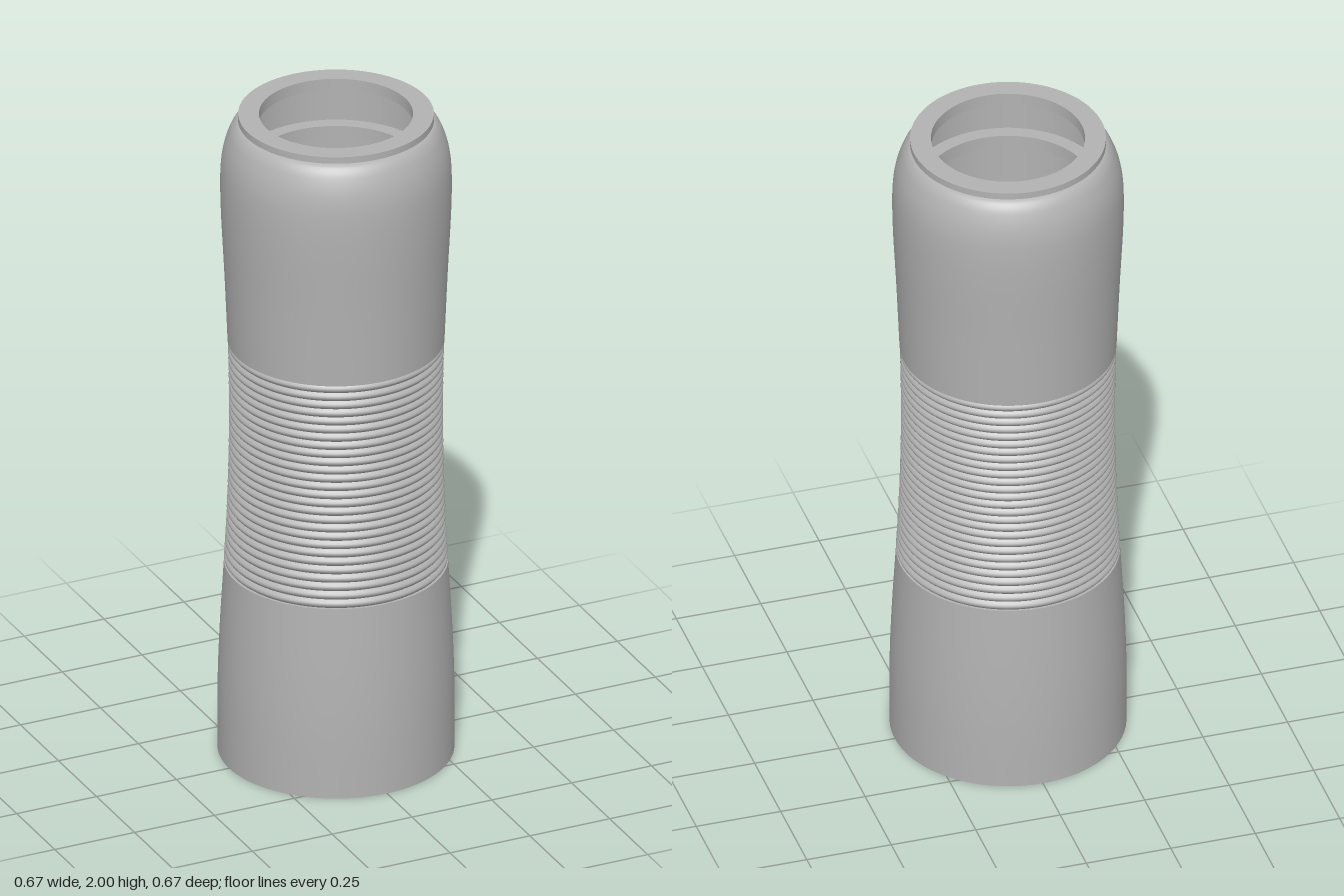
import * as THREE from 'three';
import { mergeGeometries } from 'three/addons/utils/BufferGeometryUtils.js';

const SEGMENTS = 96;
const RIB_COUNT = 27;
const RIB_BOTTOM = 0.59;
const RIB_TOP = 1.29;

const lathe = (pairs) =>
  new THREE.LatheGeometry(pairs.map(([r, y]) => new THREE.Vector2(r, y)), SEGMENTS);

// Straight profile pieces, each its own lathe so the corners stay sharp
function sharpLathe(pairs) {
  const pieces = [];
  for (let i = 0; i < pairs.length - 1; i++) pieces.push(lathe([pairs[i], pairs[i + 1]]));
  return mergeGeometries(pieces);
}

// Smooth curve through a few profile points
function smoothLathe(pairs, steps) {
  const curve = new THREE.SplineCurve(pairs.map(([r, y]) => new THREE.Vector2(r, y)));
  return new THREE.LatheGeometry(curve.getPoints(steps), SEGMENTS);
}

// Outer radius of the waist in the ribbed zone
function waistRadius(y) {
  const t = (y - 1.06) / 0.47;
  return 0.302 + 0.015 * t * t;
}

// Rounded rings stacked along the waist
function ribsGeometry() {
  const pitch = (RIB_TOP - RIB_BOTTOM) / RIB_COUNT;
  const ribs = [];
  for (let i = 0; i < RIB_COUNT; i++) {
    const points = [];
    for (let j = 0; j <= 6; j++) {
      const y = RIB_BOTTOM + (i + j / 6) * pitch;
      points.push([waistRadius(y) - 0.008 + 0.009 * Math.sin((j / 6) * Math.PI), y]);
    }
    ribs.push(lathe(points));
  }
  return mergeGeometries(ribs);
}

export function createModel() {
  const group = new THREE.Group();
  const grey = new THREE.MeshStandardMaterial({ color: 0xb2b2b2 });
  grey.name = 'grey';

  const add = (name, geometry) => {
    const mesh = new THREE.Mesh(geometry, grey);
    mesh.name = name;
    group.add(mesh);
  };

  // Lower sleeve, nearly straight at the foot and tapering to the ribs
  add('lowerSleeve', smoothLathe([
    [0.335, 0], [0.335, 0.2], [0.329, 0.38], [0.317, RIB_BOTTOM],
  ], 24));
  add('lowerRibShoulder', lathe([[0.317, RIB_BOTTOM], [0.308, RIB_BOTTOM]]));

  add('gripRibs', ribsGeometry());

  // Upper sleeve swelling out, then rounding over at the shoulder
  add('upperRibShoulder', lathe([[0.297, RIB_TOP], [0.307, RIB_TOP]]));
  add('upperSleeve', smoothLathe([
    [0.307, RIB_TOP], [0.316, 1.5], [0.326, 1.7], [0.327, 1.82],
    [0.319, 1.89], [0.302, 1.942], [0.285, 1.968], [0.268, 1.978],
  ], 56));

  // Thin collar with the top opening
  add('topCollar', sharpLathe([
    [0.268, 1.978], [0.277, 1.98], [0.277, 2], [0.218, 2],
    [0.218, 1.965], [0.28, 1.965],
  ]));

  // Bore with an inner ledge, and the flat ring at the foot
  add('upperBore', lathe([[0.28, 1.965], [0.28, 1.84]]));
  add('innerLedge', sharpLathe([
    [0.28, 1.84], [0.24, 1.84], [0.24, 1.8], [0.28, 1.8],
  ]));
  add('lowerBore', lathe([[0.28, 1.8], [0.28, 0]]));
  add('footRing', lathe([[0.28, 0], [0.335, 0]]));

  return group;
}
